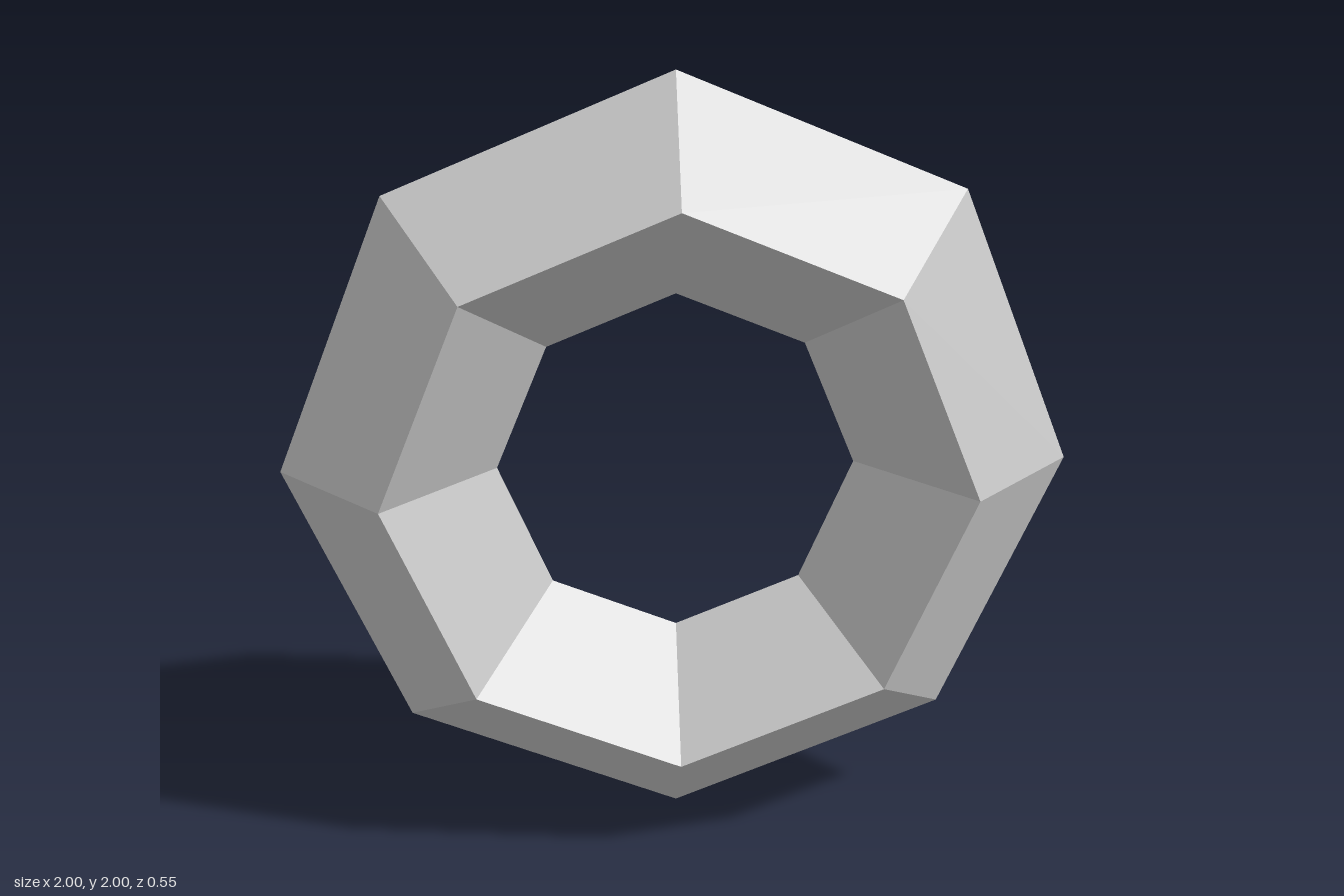
import * as THREE from 'three';

export function createModel() {
  const group = new THREE.Group();
  const tube = 0.2727;

  // Octagonal ring with a diamond cross-section, standing upright
  const ring = new THREE.Mesh(
    new THREE.TorusGeometry(1 - tube, tube, 4, 8),
    new THREE.MeshStandardMaterial({ color: 0xcccccc, flatShading: true })
  );
  ring.name = 'ring';
  ring.position.y = 1;
  group.add(ring);

  return group;
}
